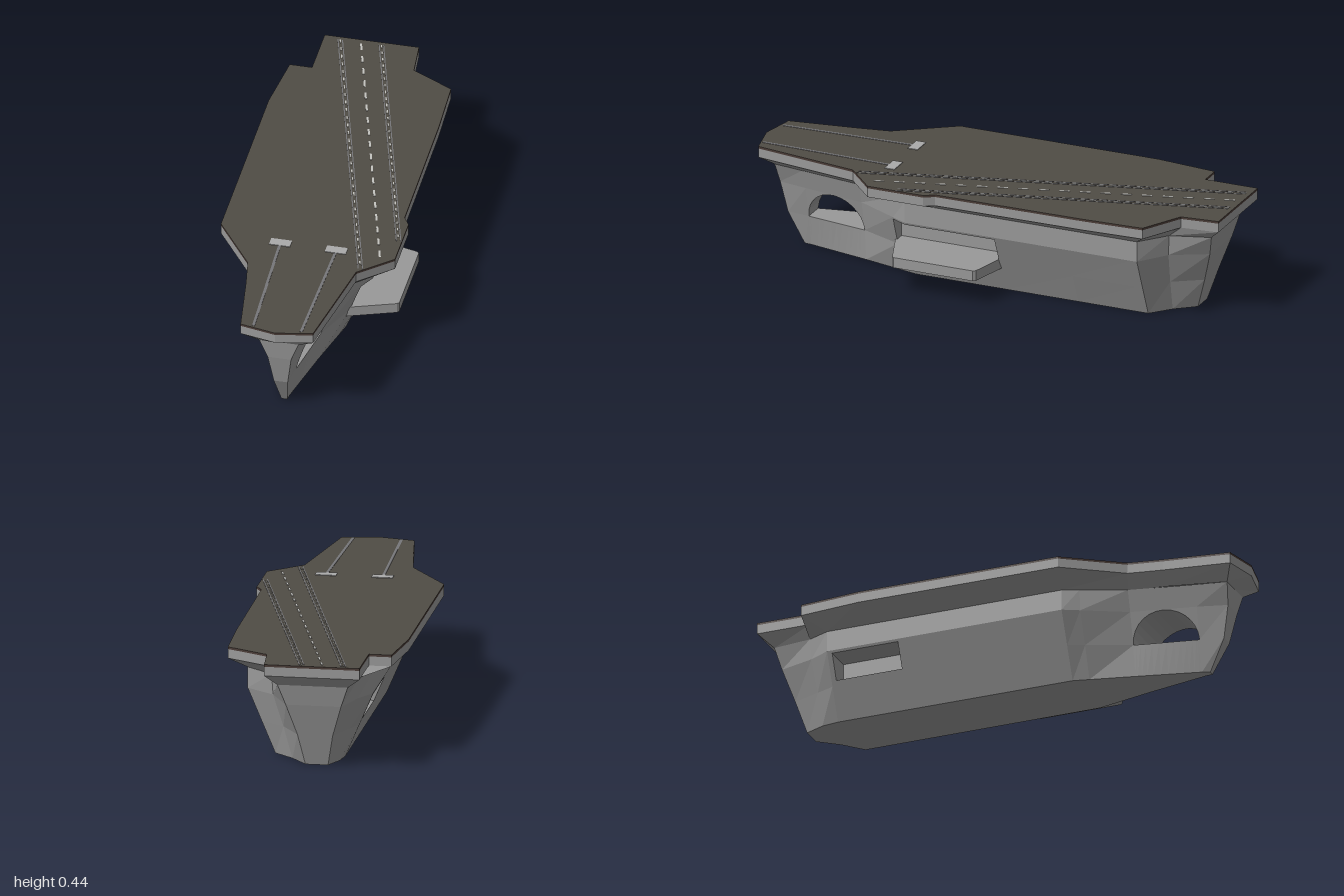
import * as THREE from 'three';

const paint = (name, color, extra = {}) => new THREE.MeshStandardMaterial({ name, color, ...extra });
const lerp = THREE.MathUtils.lerp;

// Hull stations from bow to stern: s = station, c = centre offset,
// z and w = position and half width at each height in LEVELS
const LEVELS = [0, 0.13, 0.26, 0.345];
const STATIONS = [
  { s: 0.93, c: 0.01, z: [0.83, 0.895, 0.92, 0.93], w: [0.012, 0.028, 0.047, 0.08] },
  { s: 0.8, c: 0.005, z: [0.8, 0.8, 0.8, 0.8], w: [0.02, 0.045, 0.075, 0.1] },
  { s: 0.54, c: 0, z: [0.54, 0.54, 0.54, 0.54], w: [0.08, 0.093, 0.125, 0.15] },
  { s: 0.3, c: 0, z: [0.3, 0.3, 0.3, 0.3], w: [0.138, 0.194, 0.25, 0.25] },
  { s: -0.7, c: 0, z: [-0.7, -0.7, -0.7, -0.7], w: [0.14, 0.195, 0.25, 0.25] },
  { s: -0.79, c: -0.035, z: [-0.77, -0.775, -0.785, -0.79], w: [0.095, 0.13, 0.17, 0.175] },
  { s: -0.95, c: -0.05, z: [-0.85, -0.89, -0.93, -0.95], w: [0.045, 0.07, 0.11, 0.14] },
];

// Point on the hull side at station s and height y
function hullPoint(side, s, y) {
  let i = 0, j = 0;
  while (i < STATIONS.length - 2 && s < STATIONS[i + 1].s) i++;
  while (j < LEVELS.length - 2 && y > LEVELS[j + 1]) j++;
  const A = STATIONS[i], B = STATIONS[i + 1];
  const t = (s - A.s) / (B.s - A.s), u = (y - LEVELS[j]) / (LEVELS[j + 1] - LEVELS[j]);
  const at = k => lerp(lerp(A[k][j], A[k][j + 1], u), lerp(B[k][j], B[k][j + 1], u), t);
  return [lerp(A.c, B.c, t) + side * at('w'), y, at('z')];
}

// Openings in the hull: an arched tunnel right through, and a hangar bay on each side
const arch = s => 0.13 + 0.128 * Math.sqrt(Math.max(0, 1 - ((s - 0.67) / 0.13) ** 2));
const OPENINGS = [
  { sides: [1, -1], from: 0.8, to: 0.54, floor: 0.13, top: arch, inner: 0, steps: 14 },
  { sides: [1], from: 0.365, to: -0.085, floor: 0.15, top: () => 0.25, inner: 0.13, steps: 1 },
  { sides: [-1], from: -0.4, to: -0.68, floor: 0.15, top: () => 0.25, inner: 0.13, steps: 1 },
];

function soup() {
  const pos = [];
  const quad = (a, b, c, d, flip) => pos.push(...(flip ? [d, c, b, d, b, a] : [a, b, c, a, c, d]).flat());
  const geometry = () => {
    const g = new THREE.BufferGeometry();
    g.setAttribute('position', new THREE.Float32BufferAttribute(pos, 3));
    g.computeVertexNormals();
    return g;
  };
  return { quad, geometry };
}

function buildHull() {
  const shell = soup(), lining = soup();
  const cuts = new Set(STATIONS.map(k => k.s));
  for (const o of OPENINGS) {
    for (let i = 0; i <= o.steps; i++) {
      const t = o.steps > 1 ? (1 - Math.cos(Math.PI * i / o.steps)) / 2 : i;
      cuts.add(+lerp(o.from, o.to, t).toFixed(4));
    }
  }
  const cols = [...cuts].sort((a, b) => b - a);
  for (let i = 0; i < cols.length - 1; i++) {
    const a = cols[i], b = cols[i + 1], mid = (a + b) / 2;
    for (const side of [1, -1]) {
      const flip = side < 0;
      const P = (s, y) => hullPoint(side, s, y);
      const o = OPENINGS.find(k => k.sides.includes(side) && mid < k.from && mid > k.to);
      const band = (a0, a1, b0, b1) => shell.quad(P(a, a0), P(b, b0), P(b, b1), P(a, a1), flip);
      if (!o) {
        for (let j = 0; j < 3; j++) band(LEVELS[j], LEVELS[j + 1], LEVELS[j], LEVELS[j + 1]);
        continue;
      }
      // Plating below and above the opening
      const f = o.floor, ta = o.top(a), tb = o.top(b);
      band(0, 0.13, 0, 0.13);
      if (f > 0.13) band(0.13, f, 0.13, f);
      band(ta, 0.26, tb, 0.26);
      band(0.26, 0.345, 0.26, 0.345);
      // Floor, ceiling, back and end walls inside
      const I = (s, y) => [side * o.inner, y, P(s, y)[2]];
      lining.quad(P(a, f), P(b, f), I(b, f), I(a, f), flip);
      lining.quad(I(a, ta), I(b, tb), P(b, tb), P(a, ta), flip);
      if (o.inner) {
        lining.quad(I(a, f), I(b, f), I(b, tb), I(a, ta), flip);
        if (a === o.from) lining.quad(P(a, f), I(a, f), I(a, ta), P(a, ta), flip);
        if (b === o.to) lining.quad(P(b, tb), I(b, tb), I(b, f), P(b, f), flip);
      }
    }
    // Flat bottom
    shell.quad(hullPoint(1, a, 0), hullPoint(-1, a, 0), hullPoint(-1, b, 0), hullPoint(1, b, 0));
  }
  // Stem face and transom
  for (const [s, flip] of [[0.93, false], [-0.95, true]]) {
    for (let j = 0; j < 3; j++) {
      const [lo, hi] = [LEVELS[j], LEVELS[j + 1]];
      shell.quad(hullPoint(-1, s, lo), hullPoint(1, s, lo), hullPoint(1, s, hi), hullPoint(-1, s, hi), flip);
    }
  }
  return [shell.geometry(), lining.geometry()];
}

// Deck outline: edge x, z, then the hull point x, z that the flare springs from
const DECK = [
  [0.01, 1, 0.01, 0.93], [0.157, 0.97, 0.09, 0.93], [0.23, 0.53, 0.15, 0.54], [0.36, 0.41, 0.25, 0.3],
  [0.36, 0.17, 0.25, 0.17], [0.335, 0.13, 0.25, 0.13], [0.33, -0.5, 0.25, -0.5], [0.32, -0.755, 0.25, -0.7],
  [0.15, -0.845, 0.14, -0.79], [0.135, -1, 0.09, -0.95], [-0.245, -1, -0.19, -0.95],
  [-0.245, -0.775, -0.21, -0.79], [-0.335, -0.775, -0.25, -0.7], [-0.362, -0.52, -0.25, -0.52],
  [-0.36, 0.33, -0.25, 0.3], [-0.2, 0.56, -0.145, 0.54], [-0.175, 0.7, -0.12, 0.7], [-0.135, 0.97, -0.07, 0.93],
];

// Horizontal slab from a plan outline of x, z points
function slab(points, y, height) {
  const shape = new THREE.Shape(points.map(([x, z]) => new THREE.Vector2(x, -z)));
  const g = new THREE.ExtrudeGeometry(shape, { depth: height, bevelEnabled: false });
  return g.rotateX(-Math.PI / 2).translate(0, y, 0);
}

export function createModel() {
  const hullGrey = paint('hull grey', 0x999999, { side: THREE.DoubleSide });
  const deckDark = paint('deck dark', 0x504c45);
  const edgeBrown = paint('deck edge brown', 0x4a3c37);
  const trackGrey = paint('track grey', 0x77777a);
  const markLight = paint('marking light grey', 0xc4c4c0);
  const plateGrey = paint('plate grey', 0xaaaaaa);

  const model = new THREE.Group();
  const add = (name, geometry, material, parent = model) => {
    const m = new THREE.Mesh(geometry, material);
    m.name = name;
    parent.add(m);
    return m;
  };

  const [shell, lining] = buildHull();
  add('hull', shell, hullGrey);
  add('hullOpeningLining', lining, hullGrey);

  // Flare between hull and flight deck
  const flare = soup();
  DECK.forEach((p, i) => {
    const q = DECK[(i + 1) % DECK.length];
    flare.quad([p[2], 0.345, p[3]], [q[2], 0.345, q[3]], [q[0], 0.392, q[1]], [p[0], 0.392, p[1]]);
  });
  add('deckFlare', flare.geometry(), hullGrey);
  add('deckRim', slab(DECK, 0.392, 0.037), hullGrey);
  add('flightDeck', slab(DECK, 0.429, 0.009), [deckDark, edgeBrown]);

  // Elevator platform outside the starboard bay
  add('elevatorPlatform', slab([[0.14, 0.385], [0.345, 0.31], [0.353, 0.3], [0.353, -0.04], [0.345, -0.05], [0.14, -0.1]], 0.107, 0.043), hullGrey);

  // Painted strip lying on the deck from one x, z point to another
  const strip = (name, x1, z1, x2, z2, width, material, parent, top = 0.4395) => {
    const m = add(name, new THREE.BoxGeometry(width, 0.003, Math.hypot(x2 - x1, z2 - z1)), material, parent);
    m.position.set((x1 + x2) / 2, top - 0.0015, (z1 + z2) / 2);
    m.rotation.y = Math.atan2(x2 - x1, z2 - z1);
  };
  const dashes = (name, x1, z1, x2, z2, count, fill, width, parent) => {
    for (let i = 0; i < count; i++) {
      const t = i / count, u = (i + fill) / count;
      strip(name, lerp(x1, x2, t), lerp(z1, z2, t), lerp(x1, x2, u), lerp(z1, z2, u), width, markLight, parent, 0.44);
    }
  };

  // Angled runway
  const runway = new THREE.Group();
  runway.name = 'runwayMarkings';
  model.add(runway);
  for (const [x1, z1, x2, z2] of [[-0.178, -0.98, 0.242, 0.505], [-0.012, -0.98, 0.347, 0.29]]) {
    for (const d of [-0.009, 0.009]) strip('runwayEdgeLine', x1 + d, z1, x2 + d, z2, 0.004, trackGrey, runway);
    dashes('runwayEdgeDash', x1, z1, x2, z2, 30, 0.4, 0.005, runway);
  }
  dashes('runwayCentreDash', -0.092, -0.97, 0.31, 0.45, 18, 0.5, 0.008, runway);

  // Catapult tracks and blast deflectors
  for (const [x1, x2] of [[-0.103, -0.083], [0.122, 0.109]]) {
    strip('catapultTrack', x1, 0.42, x2, 0.97, 0.011, trackGrey, model);
    strip('blastDeflector', x1, 0.382, x1, 0.424, 0.084, plateGrey, model, 0.4405);
  }
  return model;
}
